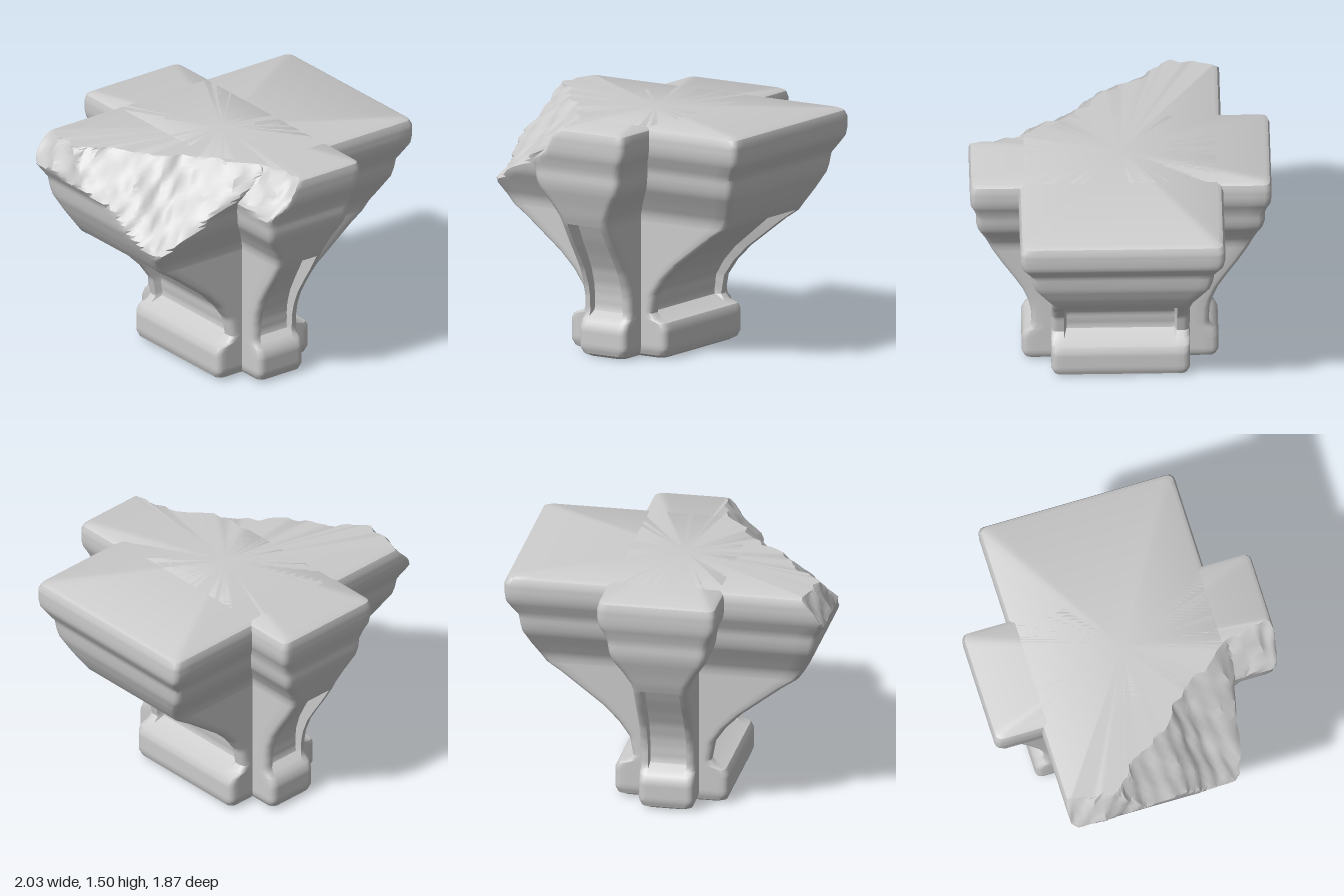
import * as THREE from 'three';
import { toCreasedNormals } from 'three/addons/utils/BufferGeometryUtils.js';

const CENTRE_X = -0.02;
const CORNER = 0.04;

// Profiles: [height, half length, half width]
const LONG_ARM = [
  [0, 0.31, 0.38], [0.02, 0.345, 0.415], [0.06, 0.36, 0.43], [0.19, 0.36, 0.43], [0.225, 0.34, 0.43],
  [0.245, 0.28, 0.43], [0.28, 0.248, 0.43], [0.4, 0.27, 0.43], [0.5, 0.34, 0.43], [0.6, 0.44, 0.43],
  [0.7, 0.57, 0.43], [0.8, 0.7, 0.43], [0.86, 0.79, 0.43], [0.87, 0.8, 0.43], [0.92, 0.835, 0.44],
  [1.0, 0.88, 0.485], [1.1, 0.925, 0.545], [1.15, 0.935, 0.56], [1.22, 0.945, 0.57], [1.28, 0.985, 0.6],
  [1.33, 1.015, 0.625], [1.38, 1.02, 0.635], [1.45, 1.02, 0.635], [1.485, 1.005, 0.622], [1.5, 0.975, 0.595],
];
const SHORT_ARM = [
  [0, 0.56, 0.13], [0.02, 0.595, 0.16], [0.06, 0.61, 0.175], [0.18, 0.61, 0.175], [0.225, 0.59, 0.175],
  [0.25, 0.56, 0.175], [0.28, 0.55, 0.175], [0.38, 0.555, 0.175], [0.45, 0.57, 0.175], [0.55, 0.61, 0.175],
  [0.65, 0.67, 0.175], [0.75, 0.735, 0.175], [0.86, 0.8, 0.175], [0.87, 0.805, 0.175], [0.92, 0.825, 0.185],
  [1.0, 0.85, 0.23], [1.1, 0.885, 0.295], [1.15, 0.895, 0.31], [1.22, 0.895, 0.32], [1.28, 0.912, 0.34],
  [1.33, 0.93, 0.365], [1.38, 0.935, 0.375], [1.45, 0.935, 0.375], [1.485, 0.925, 0.365], [1.5, 0.9, 0.34],
];

// Sloping breaks: [normal x, normal z, offset at the top, widening per unit of drop]
const LONG_BREAKS = [[-0.77, 0.64, 0.51, 1.0], [-1, 0, 0.91, 0.55]];
const SHORT_BREAKS = [[-0.93, 0.37, 0.41, 0.85]];

// Positions across a face, packed closer at the panel border
const across = [-1, -0.9, -0.86];
for (let i = -9; i <= 9; i++) across.push(i * 0.088);
across.push(0.86, 0.9, 1);

// Irregular surface of the broken corner
function roughness(t, y) {
  return 0.022 * Math.sin(11 * t + 7 * y) + 0.012 * Math.sin(29 * t - 17 * y) + 0.008 * Math.sin(53 * t + 31 * y);
}

// Sunken panel in each end of an arm
function recess(t, y) {
  if (y < 0.25 || y > 0.861 || Math.abs(t) > 0.89) return 0;
  return Math.min(0.045, (y - 0.25) * 1.2) + Math.max(0, y - 0.35) * 0.11;
}

// One level of an arm: a rounded rectangle, counterclockwise from above
function ring(y, a, b) {
  const points = [];
  for (let side = 0; side < 4; side++) {
    const reach = side % 2 ? b : a;
    const half = (side % 2 ? a : b) - CORNER;
    const c = Math.round(Math.cos(side * Math.PI / 2));
    const s = Math.round(Math.sin(side * Math.PI / 2));
    const add = (out, along) => points.push([c * out - s * along, -s * out - c * along]);
    for (const t of across) add(reach - (side % 2 ? 0 : recess(t, y)), t * half);
    for (const angle of [Math.PI / 6, Math.PI / 3]) {
      add(reach - CORNER + CORNER * Math.cos(angle), half + CORNER * Math.sin(angle));
    }
  }
  return points;
}

function armGeometry(profile, turned, breaks) {
  const levels = [];
  profile.forEach((row, i) => {
    if (i > 0) {
      const last = profile[i - 1];
      const steps = Math.max(1, Math.round((row[0] - last[0]) / 0.025));
      for (let k = 1; k < steps; k++) levels.push(row.map((v, n) => last[n] + (v - last[n]) * k / steps));
    }
    levels.push(row);
  });

  const position = [];
  const index = [];
  let count = 0;
  for (const [y, a, b] of levels) {
    const points = ring(y, a, b);
    count = points.length;
    for (const [u, v] of points) {
      let x = CENTRE_X + (turned ? v : u);
      let z = turned ? -u : v;
      // Push anything beyond a break back onto it
      for (const [nx, nz, offset, slope] of breaks) {
        const limit = offset + (1.5 - y) * slope + roughness(nx * z - nz * x, y);
        const excess = nx * x + nz * z - limit;
        if (excess > 0) {
          x -= nx * excess;
          z -= nz * excess;
        }
      }
      position.push(x, y, z);
    }
  }
  const rows = levels.length;
  const bottom = rows * count;
  position.push(CENTRE_X, 0, 0, CENTRE_X, 1.5, 0);
  for (let j = 0; j < count; j++) {
    const k = (j + 1) % count;
    for (let i = 0; i < rows - 1; i++) {
      const p = i * count;
      const q = p + count;
      index.push(p + j, p + k, q + k, p + j, q + k, q + j);
    }
    const top = (rows - 1) * count;
    index.push(bottom, k, j, bottom + 1, top + j, top + k);
  }
  const geometry = new THREE.BufferGeometry();
  geometry.setAttribute('position', new THREE.Float32BufferAttribute(position, 3));
  geometry.setIndex(index);
  return toCreasedNormals(geometry, 0.65);
}

export function createModel() {
  const group = new THREE.Group();
  group.name = 'columnCapital';
  const stone = new THREE.MeshStandardMaterial({ color: 0xcccccc });
  const addArm = (name, ...args) => {
    const mesh = new THREE.Mesh(armGeometry(...args), stone);
    mesh.name = name;
    group.add(mesh);
  };
  // Two crossing moulded arms with panelled ends
  addArm('sideToSideArm', LONG_ARM, false, LONG_BREAKS);
  addArm('frontToBackArm', SHORT_ARM, true, SHORT_BREAKS);
  return group;
}
